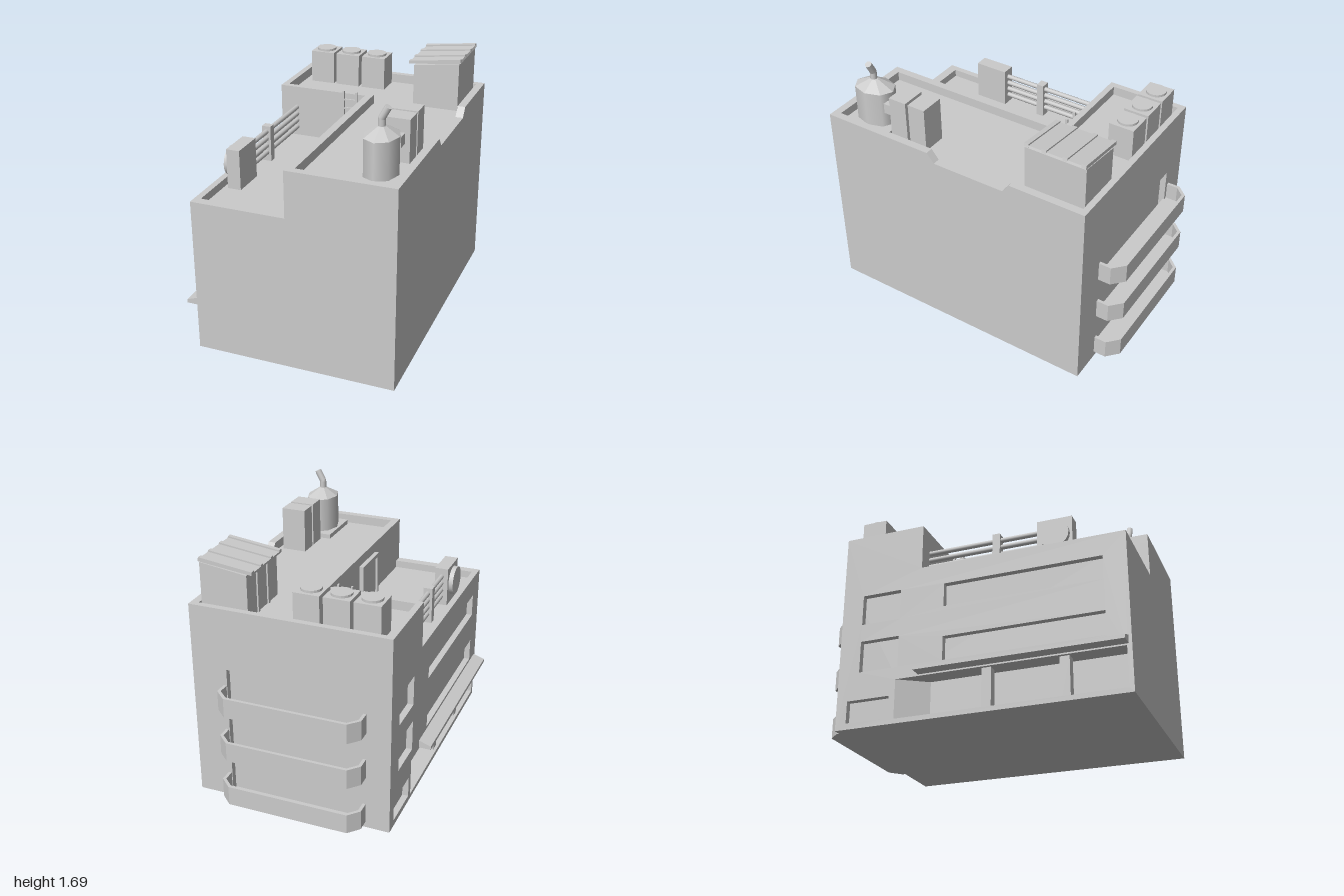
import * as THREE from 'three';

const material = new THREE.MeshStandardMaterial({ color: 0xcccccc });
const flat = new THREE.MeshStandardMaterial({ color: 0xcccccc, flatShading: true });

export function createModel() {
  const model = new THREE.Group();

  function add(name, geometry, mat = material) {
    const mesh = new THREE.Mesh(geometry, mat);
    mesh.name = name;
    model.add(mesh);
    return mesh;
  }

  // Box given by its two extreme corners
  function box(name, x0, x1, y0, y1, z0, z1) {
    const g = new THREE.BoxGeometry(x1 - x0, y1 - y0, z1 - z0);
    g.translate((x0 + x1) / 2, (y0 + y1) / 2, (z0 + z1) / 2);
    return add(name, g);
  }

  function extrude(points, depth, holes = []) {
    const toVectors = (list) => list.map(([u, v]) => new THREE.Vector2(u, v));
    const shape = new THREE.Shape(toVectors(points));
    holes.forEach((h) => shape.holes.push(new THREE.Path(toVectors(h))));
    return new THREE.ExtrudeGeometry(shape, { depth, bevelEnabled: false });
  }

  const rect = (u0, u1, v0, v1) => [[u0, v0], [u1, v0], [u1, v1], [u0, v1]];

  // Side wall drawn in (z, y), between x0 and x1
  function sideWall(name, points, x0, x1, holes) {
    const g = extrude(points, x1 - x0, holes);
    g.rotateY(-Math.PI / 2).translate(x1, 0, 0);
    return add(name, g);
  }

  // Floor plan drawn in (x, z), raised from y0 to y1
  function plan(name, points, y0, y1, holes = []) {
    const flip = (list) => list.map(([x, z]) => [x, -z]);
    const g = extrude(flip(points), y1 - y0, holes.map(flip));
    g.rotateX(-Math.PI / 2).translate(0, y0, 0);
    return add(name, g);
  }

  // Main body and the L-shaped upper storey
  box('body', -0.49, 0.63, 0, 0.96, -0.81, 1);
  plan('upperStorey', [[-0.57, -0.81], [0.63, -0.81], [0.63, 1], [0, 1], [0, -0.31], [-0.57, -0.31]], 0.96, 1.25);

  // Street side with windows and the shop opening
  const shop = rect(-0.46, 0.97, 0.03, 0.28);
  sideWall('streetWall',
    [[-0.85, 0], [1, 0], [1, 1.01], [-0.31, 1.01], [-0.31, 1.31], [-0.85, 1.31]], -0.61, -0.57,
    [
      shop,
      rect(-0.155, 0.855, 0.715, 0.87), rect(-0.155, 0.855, 0.36, 0.515),
      rect(-0.71, -0.45, 0.68, 0.88), rect(-0.71, -0.45, 0.36, 0.565),
      rect(-0.78, -0.5, 0.04, 0.18),
    ]);
  sideWall('shopWall', rect(-0.81, 1, 0, 0.96), -0.57, -0.49, [shop]);
  plan('entranceWall', [[-0.61, -0.46], [-0.49, -0.46], [-0.49, -0.28]], 0.03, 0.28);
  for (const z of [0.12, 0.6]) box('shopPillar', -0.59, -0.53, 0, 0.28, z - 0.03, z + 0.03);

  // Sloping awning over the shop
  const awning = extrude([[-0.69, 0.29], [-0.6, 0.29], [-0.6, 0.342], [-0.61, 0.342], [-0.69, 0.313]], 1.29);
  add('awning', awning.translate(0, 0, -0.31));

  // Far side with the dip in its parapet
  sideWall('notchedWall',
    [[-0.85, 0], [1, 0], [1, 1.31], [0.24, 1.31], [0.19, 1.25], [-0.3, 1.25], [-0.345, 1.31], [-0.85, 1.31]],
    0.63, 0.68);

  // Back wall with the shallow recess behind the balconies
  add('backWall', extrude(rect(-0.57, 0.63, 0, 1.31), 0.04, [rect(-0.41, 0.45, 0.04, 0.91)]).translate(0, 0, -0.85));

  // Parapets
  box('parapet', 0, 0.63, 1.25, 1.31, 0.95, 1);
  box('parapet', 0, 0.05, 1.25, 1.31, -0.31, 0.95);
  box('parapet', -0.57, 0.05, 1.25, 1.31, -0.35, -0.31);
  box('lowerParapet', -0.57, 0, 0.96, 1.01, 0.94, 1);

  // Balconies with cut corners
  const outer = [[0.475, -0.84], [0.475, -0.93], [0.4, -1], [-0.39, -1], [-0.455, -0.93], [-0.455, -0.84]];
  const inner = [[0.455, -0.845], [0.455, -0.923], [0.392, -0.98], [-0.382, -0.98], [-0.435, -0.923], [-0.435, -0.845]];
  for (const y of [0.04, 0.36, 0.67]) {
    plan('balconyFloor', outer, y, y + 0.02);
    plan('balconyRail', [...outer, ...inner.slice().reverse()], y + 0.02, y + 0.13);
  }

  // Three roof fans
  for (const x of [-0.435, -0.248, -0.06]) {
    box('fanHousing', x - 0.083, x + 0.083, 1.25, 1.47, -0.795, -0.63);
    add('fanCap', new THREE.CylinderGeometry(0.065, 0.065, 0.015, 20).translate(x, 1.478, -0.712), flat);
  }

  // Roof shed with a sloping ribbed top
  add('shed', extrude([[0.305, 1.25], [0.61, 1.25], [0.61, 1.57], [0.305, 1.53]], 0.4).translate(0, 0, -0.81));
  add('shedRoof', extrude([[0.27, 1.535], [0.62, 1.575], [0.615, 1.59], [0.27, 1.547]], 0.4).translate(0, 0, -0.81));
  for (const z of [-0.81, -0.69, -0.555, -0.44]) {
    add('shedRib', extrude([[0.27, 1.535], [0.62, 1.578], [0.615, 1.6], [0.27, 1.557]], 0.03).translate(0, 0, z));
  }
  for (const z of [-0.69, -0.555]) box('shedBatten', 0.295, 0.31, 1.25, 1.53, z, z + 0.02);

  // Water tank, wider along z, with a bent pipe
  box('tankBase', 0.375, 0.61, 1.25, 1.28, 0.59, 0.925);
  const tank = new THREE.CylinderGeometry(1, 1, 0.24, 8, 1, true);
  add('tank', tank.scale(0.106, 1, 0.14).translate(0.497, 1.39, 0.76));
  const lid = new THREE.CylinderGeometry(0.2, 1, 0.055, 8);
  add('tankLid', lid.scale(0.106, 1, 0.14).translate(0.497, 1.537, 0.76), flat);
  const bend = new THREE.CurvePath();
  const p = [[0.497, 1.54], [0.497, 1.61], [0.535, 1.68]].map(([x, y]) => new THREE.Vector3(x, y, 0.765));
  bend.add(new THREE.LineCurve3(p[0], p[1]));
  bend.add(new THREE.LineCurve3(p[1], p[2]));
  add('tankPipe', new THREE.TubeGeometry(bend, 12, 0.022, 10));
  const cap = new THREE.CircleGeometry(0.022, 10).rotateX(-Math.PI / 2).rotateZ(-0.5);
  add('pipeEnd', cap.translate(p[2].x, p[2].y, p[2].z));

  // Cooling cabinets beside the tank
  box('cabinet', 0.438, 0.6, 1.25, 1.54, 0.305, 0.425);
  box('cabinet', 0.438, 0.6, 1.25, 1.54, 0.445, 0.568);
  box('cabinetDuct', 0.478, 0.57, 1.39, 1.457, 0.568, 0.64);

  // Fan unit on the lower roof with pipes to the wall
  box('fanUnit', -0.54, -0.452, 0.96, 1.22, 0.43, 0.655);
  add('fanDrum', new THREE.CylinderGeometry(0.095, 0.095, 0.03, 20).rotateZ(Math.PI / 2).translate(-0.555, 1.103, 0.545));
  for (let i = 0; i < 4; i++) {
    const pipe = new THREE.CylinderGeometry(0.016, 0.016, 0.74, 8).rotateX(Math.PI / 2);
    add('roofPipe', pipe.translate(-0.497, 1.02 + i * 0.048, 0.06));
  }
  box('pipeBracket', -0.528, -0.468, 0.96, 1.2, 0.13, 0.18);

  // Roof door
  box('doorPanel', -0.015, 0, 0.96, 1.23, 0.2, 0.49);
  box('doorLintel', -0.03, 0, 1.22, 1.245, 0.2, 0.49);
  for (const z of [0.2, 0.465]) box('doorJamb', -0.03, 0, 0.96, 1.22, z, z + 0.025);

  // Ladder between the roofs
  for (const x of [-0.146, -0.055]) box('ladderRail', x - 0.006, x + 0.006, 0.96, 1.33, -0.305, -0.288);
  for (let i = 0; i < 6; i++) {
    const y = 0.965 + i * 0.06;
    box('ladderRung', -0.146, -0.055, y, y + 0.01, -0.302, -0.29);
  }
  return model;
}
